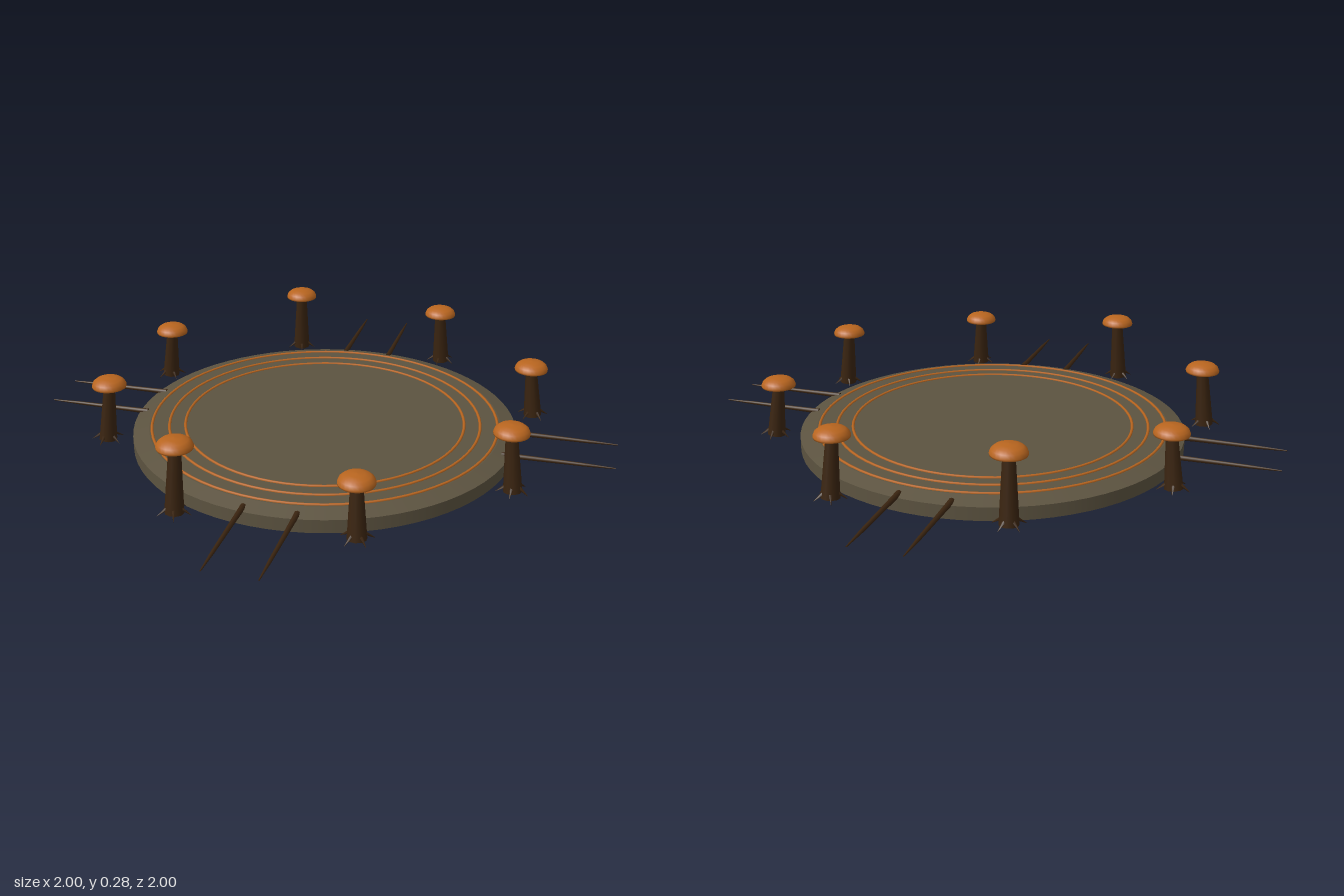
import * as THREE from 'three';

const stone = new THREE.MeshStandardMaterial({ color: 0x5c5340 });
stone.name = 'mossy stone';
const orange = new THREE.MeshStandardMaterial({ color: 0xb8651f });
orange.name = 'cap orange';
const bark = new THREE.MeshStandardMaterial({ color: 0x3a2410 });
bark.name = 'dark bark';

function add(parent, name, geometry, material, x = 0, y = 0, z = 0) {
  const mesh = new THREE.Mesh(geometry, material);
  mesh.name = name;
  mesh.position.set(x, y, z);
  parent.add(mesh);
  return mesh;
}

// tapered rod between two points
const UP = new THREE.Vector3(0, 1, 0);
function rod(parent, name, from, to, rFrom, rTo, sides) {
  const dir = to.clone().sub(from);
  const geometry = new THREE.CylinderGeometry(rTo, rFrom, dir.length(), sides);
  const mesh = add(parent, name, geometry, bark);
  mesh.position.copy(from).add(to).multiplyScalar(0.5);
  mesh.quaternion.setFromUnitVectors(UP, dir.normalize());
  return mesh;
}

// mushroom standing at radius 0.73, its foot set slightly outward
function mushroom(index) {
  const group = new THREE.Group();
  group.name = 'mushroom';
  const top = [0.26, 0.24, 0.28][index % 3];
  const foot = new THREE.Vector3(0.018, 0.03, 0);
  rod(group, 'stem', foot, new THREE.Vector3(0, top - 0.03, 0), 0.031, 0.019, 10);

  const cap = [[0, -0.002], [0.05, -0.003], [0.057, 0], [0.058, 0.006], [0.053, 0.018],
    [0.042, 0.027], [0.024, 0.033], [0, 0.035]].map(([r, y]) => new THREE.Vector2(r, y));
  add(group, 'cap', new THREE.LatheGeometry(cap, 24), orange, 0, top - 0.035, 0);

  // small root spikes around the foot
  for (let k = 0; k < 5; k++) {
    const a = index * 0.9 + k * Math.PI * 0.4;
    const d = new THREE.Vector3(Math.cos(a), 0, Math.sin(a));
    const start = foot.clone().addScaledVector(d, 0.02).setY(0.05);
    const end = foot.clone().addScaledVector(d, 0.055).setY(0.028);
    rod(group, 'rootSpike', start, end, 0.007, 0.0005, 5);
  }

  const angle = Math.PI / 8 + index * Math.PI / 4;
  group.position.set(0.732 * Math.cos(angle), 0, 0.732 * Math.sin(angle));
  group.rotation.y = -angle;
  return group;
}

export function createModel() {
  const model = new THREE.Group();
  model.name = 'mushroomRingPlatform';

  // round platform with a bevelled upper edge
  add(model, 'platformBase', new THREE.CylinderGeometry(0.665, 0.665, 0.045, 72), stone, 0, 0.0225, 0);
  add(model, 'platformTop', new THREE.CylinderGeometry(0.61, 0.665, 0.015, 72), stone, 0, 0.0525, 0);

  // concentric inlaid rings
  for (const radius of [0.485, 0.54, 0.6]) {
    const ring = add(model, 'inlaidRing', new THREE.TorusGeometry(radius, 0.005, 6, 72), orange, 0, 0.06, 0);
    ring.rotation.x = Math.PI / 2;
  }

  // pairs of thin roots reaching out on the four sides
  for (let i = 0; i < 4; i++) {
    const pair = new THREE.Group();
    pair.name = 'rootPair';
    for (const z of [-0.086, 0.086]) {
      const points = [[0.63, 0.01], [0.7, 0.0085], [0.9, 0.006], [1, 0.002]];
      for (let k = 0; k < 3; k++) {
        const [x0, r0] = points[k], [x1, r1] = points[k + 1];
        rod(pair, 'root', new THREE.Vector3(x0, 0.048, z), new THREE.Vector3(x1, 0.048, z), r0, r1, 8);
      }
    }
    pair.rotation.y = i * Math.PI / 2;
    model.add(pair);
  }

  for (let i = 0; i < 8; i++) model.add(mushroom(i));
  return model;
}
